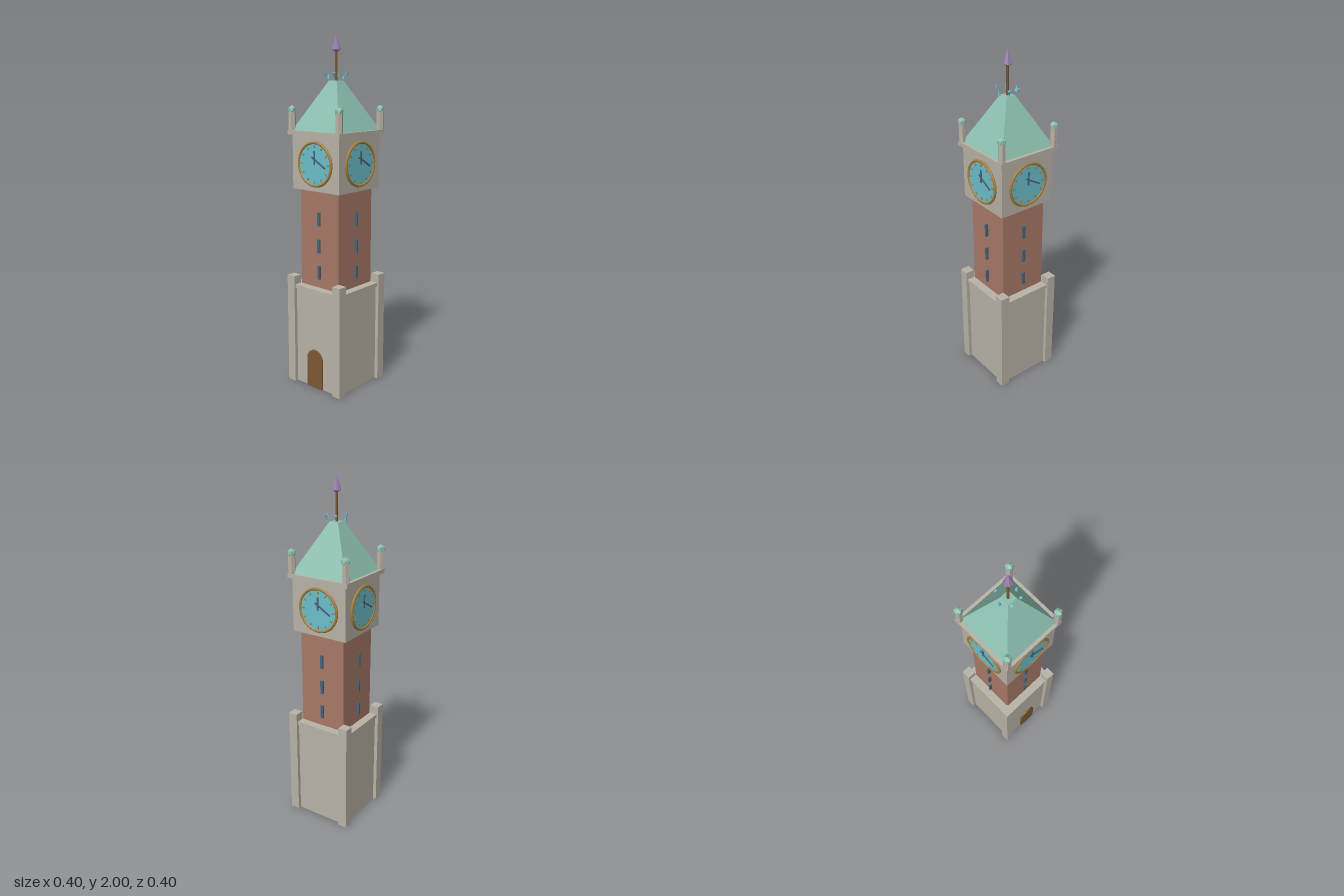
import * as THREE from 'three';

const mat = (name, color) => {
  const m = new THREE.MeshStandardMaterial({ color });
  m.name = name;
  return m;
};

export function createModel() {
  const stone = mat('stone', 0xb9b3a6);
  const brick = mat('brick', 0xa87967);
  const copper = mat('copper green', 0x8cbfaf);
  const glassBlue = mat('dial blue', 0x6cbfcc);
  const gold = mat('gold', 0xa8803c);
  const slate = mat('slate blue', 0x48647a);
  const wood = mat('wood brown', 0x7d5a35);
  const violet = mat('violet', 0x9a80ae);

  const tower = new THREE.Group();
  tower.name = 'clockTower';

  const add = (parent, name, geo, material, x = 0, y = 0, z = 0) => {
    const mesh = new THREE.Mesh(geo, material);
    mesh.name = name;
    mesh.position.set(x, y, z);
    parent.add(mesh);
    return mesh;
  };
  // square block given by its half width and its bottom and top heights
  const block = (name, half, y0, y1, material) =>
    add(tower, name, new THREE.BoxGeometry(half * 2, y1 - y0, half * 2), material, 0, (y0 + y1) / 2, 0);
  const flat = (geo) => {
    const g = geo.index ? geo.toNonIndexed() : geo;
    g.computeVertexNormals();
    return g;
  };

  // main body
  block('base', 0.18, 0, 0.58, stone);
  block('baseTrim', 0.19, 0.578, 0.6, stone);
  block('shaft', 0.142, 0.6, 1.16, brick);
  block('clockStage', 0.172, 1.16, 1.464, stone);
  block('cornice', 0.191, 1.464, 1.488, stone);

  // roof: a truncated pyramid
  const roof = new THREE.CylinderGeometry(0.028 * Math.SQRT2, 0.173 * Math.SQRT2, 0.27, 4).rotateY(Math.PI / 4);
  add(tower, 'roof', flat(roof), copper, 0, 1.488 + 0.135, 0);

  // corner buttresses, and pinnacles with faceted caps
  const capGeo = new THREE.IcosahedronGeometry(0.025).rotateX(-Math.atan((1 + Math.sqrt(5)) / 2));
  for (const sx of [-1, 1]) {
    for (const sz of [-1, 1]) {
      const x = 0.173 * sx, z = 0.173 * sz;
      add(tower, 'buttress', new THREE.BoxGeometry(0.055, 0.65, 0.055), stone, x, 0.325, z);
      const shaft = new THREE.CylinderGeometry(0.021, 0.021, 0.115, 6).rotateY(Math.PI / 6);
      add(tower, 'pinnacle', flat(shaft), stone, x, 1.545, z);
      add(tower, 'pinnacleCap', capGeo, copper, x, 1.6, z);
    }
  }

  // arched door
  const arch = new THREE.Shape();
  arch.moveTo(-0.057, 0);
  arch.lineTo(0.057, 0);
  arch.lineTo(0.057, 0.175);
  arch.absarc(0, 0.175, 0.057, 0, Math.PI, false);
  arch.closePath();
  add(tower, 'door', new THREE.ExtrudeGeometry(arch, { depth: 0.02, bevelEnabled: false, curveSegments: 10 }),
    wood, 0, 0, 0.17);

  // slit windows on all four sides
  const slit = new THREE.BoxGeometry(0.018, 0.078, 0.01);
  for (const y of [0.69, 0.845, 1.0]) {
    for (const s of [-1, 1]) {
      add(tower, 'window', slit, slate, 0, y, 0.147 * s);
      add(tower, 'window', slit, slate, 0.15 * s, y, 0);
    }
  }

  // four clocks
  for (let i = 0; i < 4; i++) {
    const clock = new THREE.Group();
    clock.name = 'clock';
    clock.rotation.y = i * Math.PI / 2;
    tower.add(clock);
    const disc = new THREE.CylinderGeometry(0.118, 0.118, 0.01, 32).rotateX(Math.PI / 2);
    add(clock, 'dial', disc, glassBlue, 0, 1.31, 0.173);
    add(clock, 'dialRing', new THREE.TorusGeometry(0.119, 0.008, 8, 32), gold, 0, 1.31, 0.176);
    for (let k = 0; k < 12; k++) {
      const a = k * Math.PI / 6;
      const tick = add(clock, 'hourMark', new THREE.BoxGeometry(0.008, 0.015, 0.006), gold,
        0.098 * Math.sin(a), 1.31 + 0.098 * Math.cos(a), 0.178);
      tick.rotation.z = -a;
    }
    add(clock, 'hourHand', new THREE.BoxGeometry(0.009, 0.075, 0.006), slate, 0, 1.346, 0.18);
    const minute = add(clock, 'minuteHand', new THREE.BoxGeometry(0.11, 0.008, 0.006), slate, 0.03, 1.322, 0.181);
    minute.rotation.z = -Math.PI / 6;
  }

  // spire: pole and faceted finial
  add(tower, 'spirePole', new THREE.CylinderGeometry(0.007, 0.007, 0.17, 8), wood, 0, 1.835, 0);
  const finial = new THREE.LatheGeometry(
    [[0, 1.908], [0.026, 1.922], [0, 2]].map(([x, y]) => new THREE.Vector2(x, y)), 6).rotateY(Math.PI / 6);
  add(tower, 'finial', flat(finial), violet);

  // ring of small shards around the spire
  for (let k = 0; k < 6; k++) {
    const a = k * Math.PI / 3;
    const shard = add(tower, 'shard', flat(new THREE.ConeGeometry(0.009, 0.034, 5)), glassBlue,
      0.057 * Math.cos(a), 1.782, 0.057 * Math.sin(a));
    shard.rotation.set(0, -a, k % 3 === 0 ? -0.2 : Math.PI - 0.25);
  }

  return tower;
}
